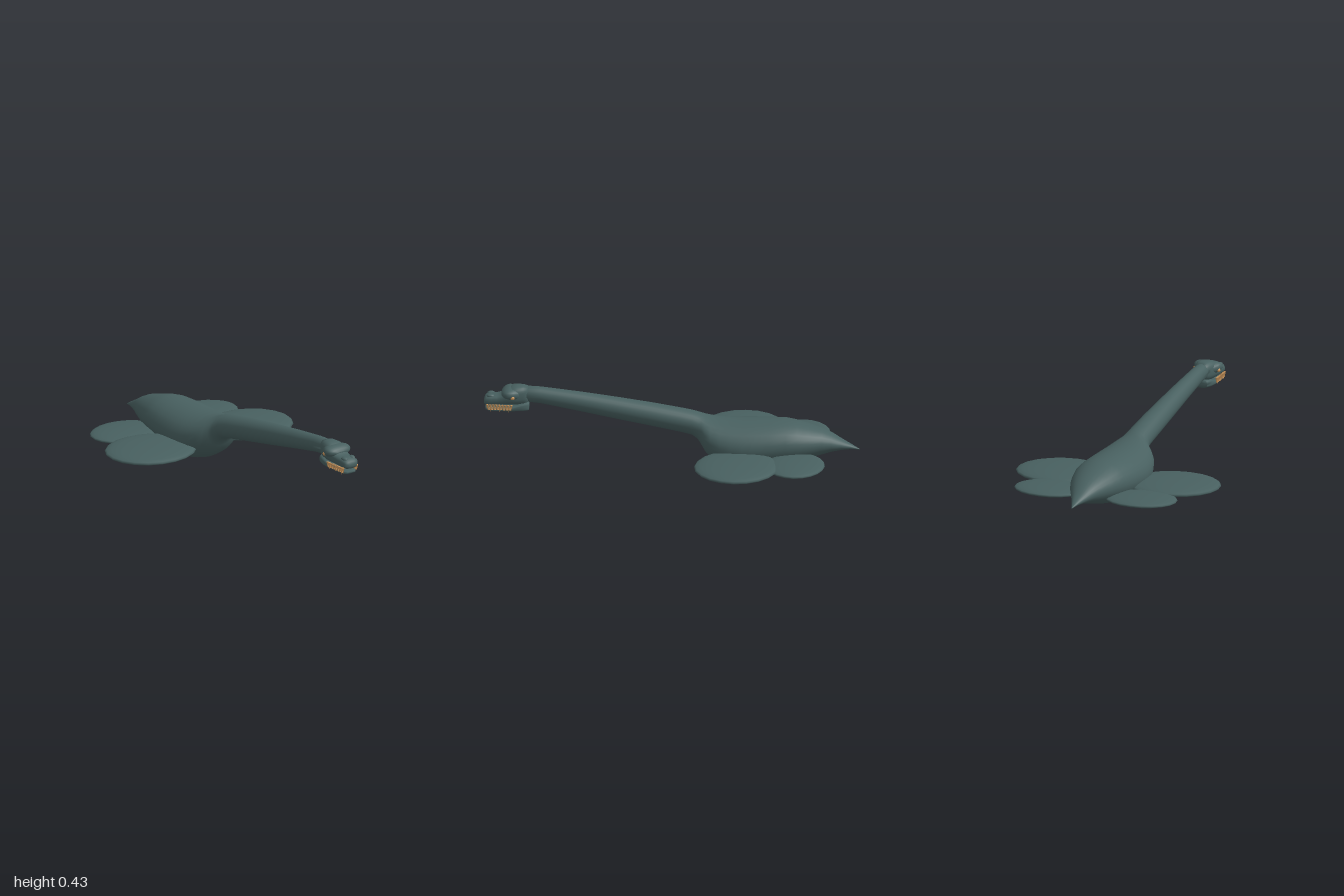
import * as THREE from 'three';

const skin = new THREE.MeshStandardMaterial({ color: 0x486060 });
skin.name = 'slate green skin';
const ivory = new THREE.MeshStandardMaterial({ color: 0xc8935a });
ivory.name = 'tan teeth';

// Loft along x; each station is [x, bottom, top, halfWidth], power < 1 squares the section
function loft(stations, power = 1, sides = 28) {
  const pos = [], index = [];
  const bend = (v) => Math.sign(v) * Math.abs(v) ** power;
  for (const [x, lo, hi, w] of stations) {
    for (let j = 0; j < sides; j++) {
      const a = (j / sides) * Math.PI * 2;
      pos.push(x, (lo + hi) / 2 + bend(Math.sin(a)) * (hi - lo) / 2, bend(Math.cos(a)) * w);
    }
  }
  for (let i = 0; i < stations.length - 1; i++) {
    for (let j = 0; j < sides; j++) {
      const k = (j + 1) % sides, a = i * sides, b = a + sides;
      index.push(a + j, b + j, b + k, a + j, b + k, a + k);
    }
  }
  // End caps
  const last = (stations.length - 1) * sides;
  for (let j = 1; j < sides - 1; j++) {
    index.push(0, j, j + 1, last, last + j + 1, last + j);
  }
  const geo = new THREE.BufferGeometry();
  geo.setAttribute('position', new THREE.Float32BufferAttribute(pos, 3));
  geo.setIndex(index);
  geo.computeVertexNormals();
  return geo;
}

function add(group, name, geo, mat, x = 0, y = 0, z = 0) {
  const mesh = new THREE.Mesh(geo, mat);
  mesh.name = name;
  mesh.position.set(x, y, z);
  group.add(mesh);
  return mesh;
}

function ellipsoid(group, name, mat, [x, y, z], [rx, ry, rz], seg = 18) {
  const mesh = add(group, name, new THREE.SphereGeometry(1, seg, 12), mat, x, y, z);
  mesh.scale.set(rx, ry, rz);
}

export function createModel() {
  const model = new THREE.Group();
  model.name = 'longNeckedSeaReptile';

  // Tail, body and neck in one smooth skin
  add(model, 'bodyAndNeck', loft([
    [-1, 0.109, 0.111, 0.001], [-0.95, 0.112, 0.14, 0.022], [-0.9, 0.108, 0.168, 0.045],
    [-0.85, 0.099, 0.198, 0.07], [-0.8, 0.085, 0.222, 0.094], [-0.73, 0.065, 0.243, 0.122],
    [-0.67, 0.049, 0.259, 0.141], [-0.61, 0.036, 0.27, 0.156], [-0.52, 0.022, 0.271, 0.168],
    [-0.44, 0.009, 0.271, 0.173], [-0.38, 0.004, 0.27, 0.174], [-0.32, 0.011, 0.27, 0.17],
    [-0.26, 0.03, 0.272, 0.159], [-0.21, 0.06, 0.278, 0.142], [-0.18, 0.09, 0.286, 0.12],
    [-0.16, 0.122, 0.294, 0.096], [-0.14, 0.155, 0.301, 0.082], [-0.11, 0.178, 0.31, 0.073],
    [-0.05, 0.193, 0.322, 0.069], [0.1, 0.222, 0.348, 0.065], [0.3, 0.26, 0.378, 0.057],
    [0.5, 0.3, 0.405, 0.049], [0.7, 0.338, 0.428, 0.042], [0.82, 0.35, 0.434, 0.04],
  ]), skin);

  // Skull and snout
  const head = new THREE.Group();
  head.name = 'head';
  model.add(head);
  add(head, 'skull', loft([
    [0.765, 0.345, 0.43, 0.038], [0.79, 0.335, 0.437, 0.047], [0.82, 0.332, 0.437, 0.055],
    [0.845, 0.332, 0.435, 0.058], [0.87, 0.332, 0.42, 0.056], [0.9, 0.33, 0.396, 0.051],
    [0.93, 0.329, 0.387, 0.047], [0.96, 0.328, 0.388, 0.048], [0.985, 0.328, 0.382, 0.045],
    [0.996, 0.332, 0.37, 0.036], [1, 0.342, 0.358, 0.022],
  ], 0.75), skin);

  // Brow ridge bulging out over both eyes
  add(head, 'browRidge', loft([
    [0.79, 0.375, 0.41, 0.03], [0.815, 0.365, 0.42, 0.056], [0.84, 0.362, 0.427, 0.071],
    [0.862, 0.364, 0.429, 0.079], [0.882, 0.37, 0.424, 0.075], [0.898, 0.377, 0.413, 0.058],
    [0.906, 0.385, 0.402, 0.035],
  ], 0.8), skin);

  // Lower jaw
  add(head, 'lowerJaw', loft([
    [0.76, 0.302, 0.348, 0.038], [0.8, 0.298, 0.345, 0.05], [0.86, 0.298, 0.322, 0.049],
    [0.93, 0.297, 0.317, 0.045], [0.975, 0.299, 0.316, 0.041], [0.992, 0.303, 0.315, 0.028],
  ], 0.6), skin);

  for (const s of [1, -1]) {
    const side = s > 0 ? 'Right' : 'Left';
    // Flippers, rooted inside the body
    ellipsoid(model, 'frontFlipper' + side, skin, [-0.36, 0.109, s * 0.32], [0.225, 0.029, 0.255], 20);
    ellipsoid(model, 'rearFlipper' + side, skin, [-0.67, 0.104, s * 0.262], [0.157, 0.022, 0.198], 20);

    // Eye and nostril
    ellipsoid(head, 'eye' + side, ivory, [0.845, 0.384, s * 0.068], [0.012, 0.01, 0.009], 10);
    ellipsoid(head, 'nostril' + side, skin, [0.963, 0.38, s * 0.024], [0.022, 0.011, 0.016], 12);

    // Upper teeth point down, lower teeth point up between them
    for (let i = 0; i < 9; i++) {
      const x = 0.852 + i * 0.016;
      const z = s * (0.053 - i * 0.001);
      const length = i % 3 === 1 ? 0.042 : 0.031;
      const upper = add(head, 'upperTooth' + side, new THREE.ConeGeometry(0.007, length, 6), ivory, x, 0.338 - length / 2, z);
      upper.rotation.x = Math.PI;
      if (i < 8) add(head, 'lowerTooth' + side, new THREE.ConeGeometry(0.006, 0.024, 6), ivory, x + 0.008, 0.322, z * 0.96);
    }
  }
  return model;
}
